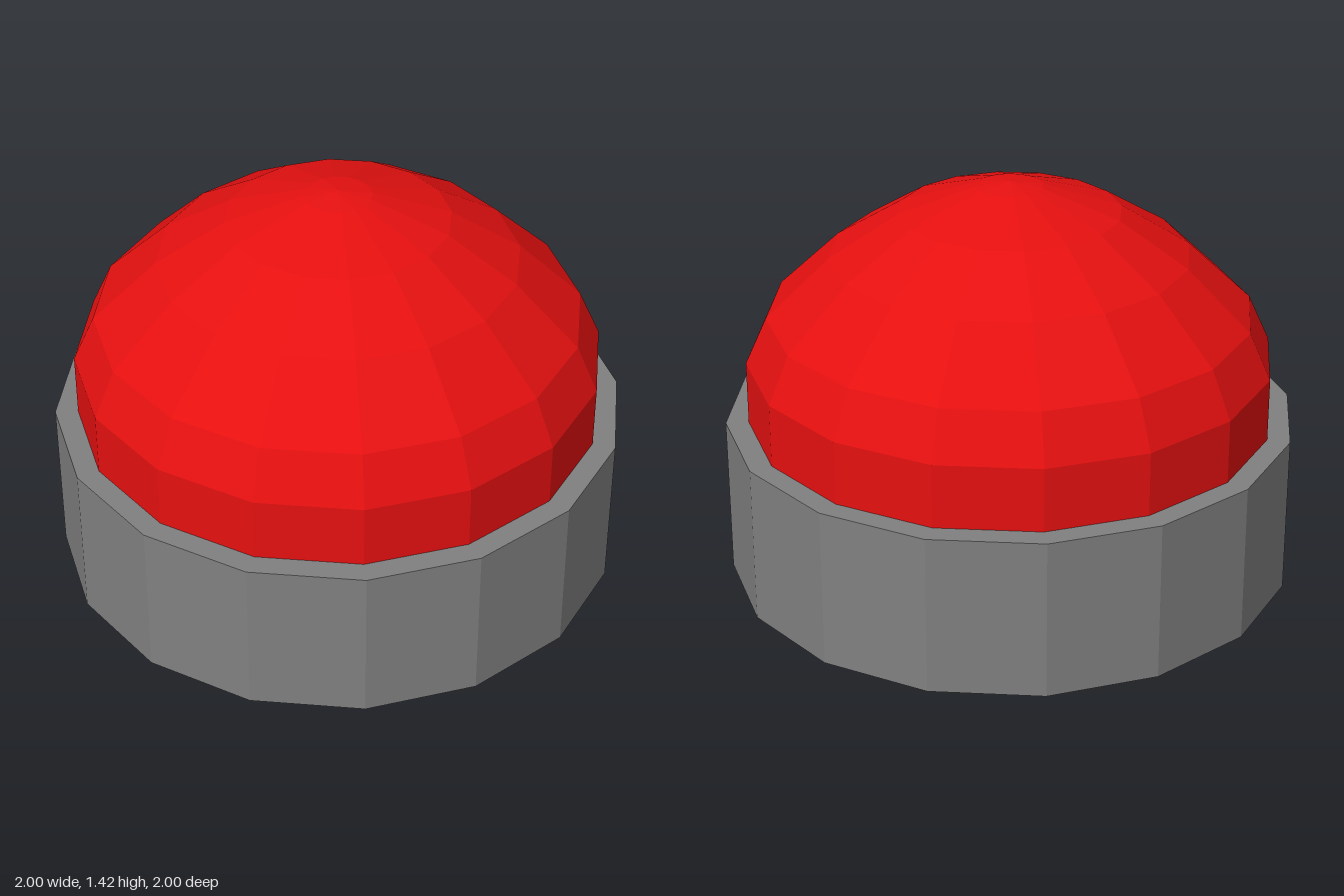
import * as THREE from 'three';

const SIDES = 16;
const BASE_HEIGHT = 0.565;

export function createModel() {
  const group = new THREE.Group();
  group.name = 'pushButton';

  const grey = new THREE.MeshStandardMaterial({ color: 0x808080, flatShading: true });
  grey.name = 'base grey';
  const red = new THREE.MeshStandardMaterial({ color: 0xe61010, flatShading: true });
  red.name = 'button red';

  // Sixteen-sided housing
  const base = new THREE.Mesh(new THREE.CylinderGeometry(1, 1, BASE_HEIGHT, SIDES), grey);
  base.name = 'base';
  base.position.y = BASE_HEIGHT / 2;
  group.add(base);

  // Faceted dome: short upright wall, then rings narrowing to the tip
  const profile = [
    [0.92, BASE_HEIGHT], [0.92, 0.79], [0.845, 0.955], [0.625, 1.165],
    [0.385, 1.315], [0.115, 1.405], [0, 1.42],
  ].map(([r, y]) => new THREE.Vector2(r, y));
  const dome = new THREE.Mesh(new THREE.LatheGeometry(profile, SIDES), red);
  dome.name = 'buttonDome';
  group.add(dome);

  return group;
}
